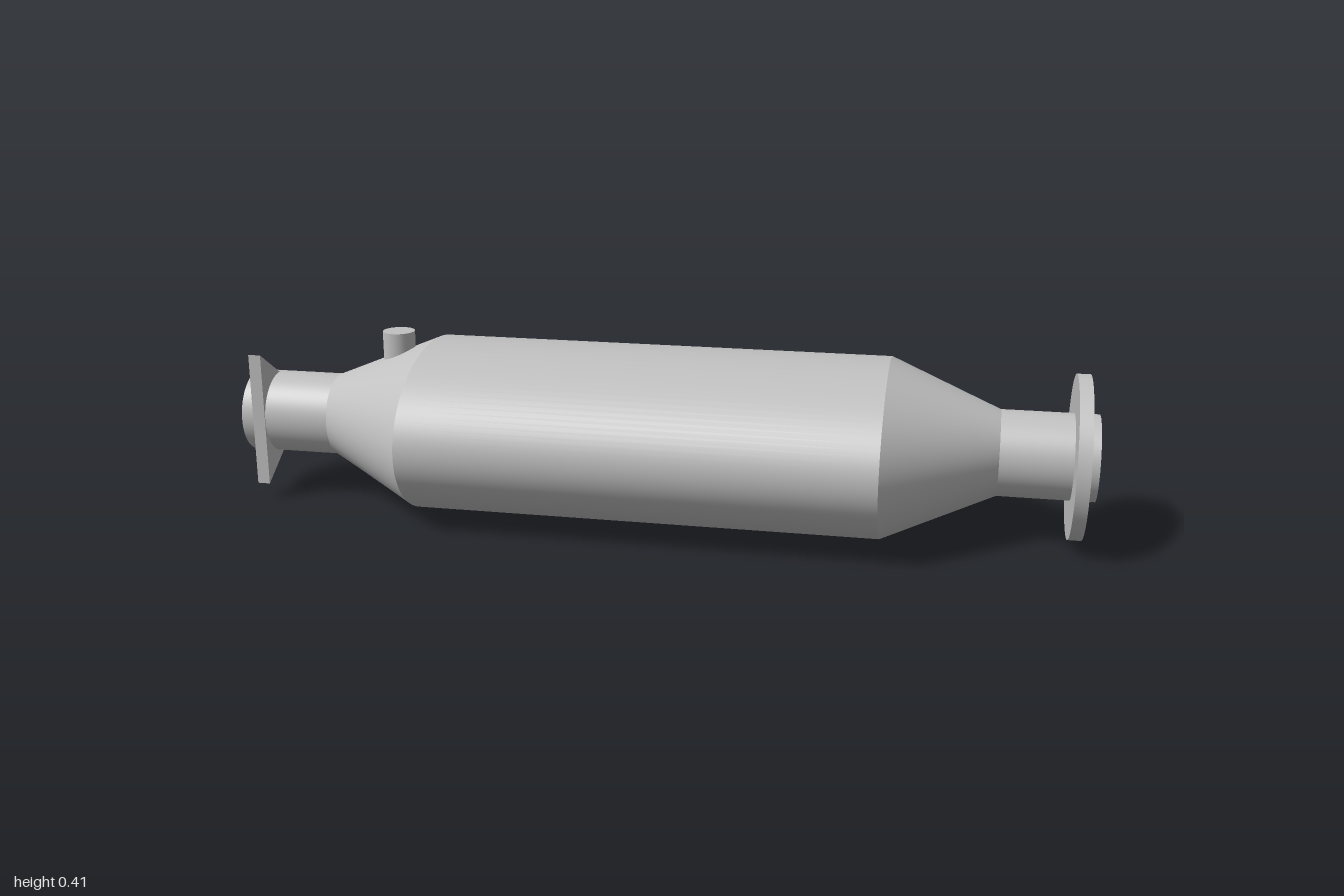
import * as THREE from 'three';

const AXIS_Y = 0.197;
const SEGMENTS = 96;

// Surface between two elliptical sections [x, radiusY, radiusZ]
function loft([x0, ry0, rz0], [x1, ry1, rz1]) {
  const positions = [], index = [];
  for (let i = 0; i < SEGMENTS; i++) {
    const t = (i / SEGMENTS) * Math.PI * 2;
    const c = Math.cos(t), s = Math.sin(t);
    positions.push(x0, ry0 * c, rz0 * s, x1, ry1 * c, rz1 * s);
    const a = 2 * i, d = 2 * ((i + 1) % SEGMENTS);
    index.push(a, d, d + 1, a, d + 1, a + 1);
  }
  const geometry = new THREE.BufferGeometry();
  geometry.setAttribute('position', new THREE.Float32BufferAttribute(positions, 3));
  geometry.setIndex(index);
  geometry.computeVertexNormals();
  return geometry;
}

export function createModel() {
  const model = new THREE.Group();
  model.name = 'exhaustConverter';
  const steel = new THREE.MeshStandardMaterial({ color: 0xc0c0c0 });
  steel.name = 'steel';

  function add(name, geometry, parent = model) {
    const mesh = new THREE.Mesh(geometry, steel);
    mesh.name = name;
    parent.add(mesh);
    return mesh;
  }

  const axis = new THREE.Group();
  axis.name = 'pipeAxis';
  axis.position.y = AXIS_Y;
  model.add(axis);

  // Pipes, cones and oval canister, as one closed run of sections
  const bore = 0.085, pipe = 0.098, bodyY = 0.197, bodyZ = 0.304;
  const sections = [
    [-1, bore, bore], [-1, pipe, pipe], [-0.785, pipe, pipe],
    [-0.54, bodyY, bodyZ], [0.535, bodyY, bodyZ],
    [0.785, pipe, pipe], [1, pipe, pipe], [1, bore, bore], [-1, bore, bore],
  ];
  const names = ['inletRim', 'inletPipe', 'inletCone', 'canister',
    'outletCone', 'outletPipe', 'outletRim', 'bore'];
  names.forEach((name, i) => add(name, loft(sections[i], sections[i + 1]), axis));

  // Round flange on the outlet pipe
  const flange = new THREE.Group();
  flange.name = 'roundFlange';
  axis.add(flange);
  const ring = [[0.945, pipe], [0.945, 0.186], [0.975, 0.186], [0.975, pipe]]
    .map(([x, r]) => [x, r, r]);
  ['flangeInnerFace', 'flangeEdge', 'flangeOuterFace'].forEach((name, i) =>
    add(name, loft(ring[i], ring[i + 1]), flange));

  // Triangular plate across the inlet pipe
  const triangle = new THREE.Shape([
    new THREE.Vector2(0.1, 0.163),
    new THREE.Vector2(-0.147, 0),
    new THREE.Vector2(0.1, -0.158),
  ]);
  const plate = new THREE.ExtrudeGeometry(triangle, { depth: 0.03, bevelEnabled: false });
  plate.rotateY(-Math.PI / 2);
  add('triangularFlange', plate, axis).position.x = -0.94;

  // Sensor boss on the inlet cone
  const boss = new THREE.CylinderGeometry(0.038, 0.038, 0.112, 48);
  add('sensorBoss', boss).position.set(-0.627, 0.356, 0);

  return model;
}
